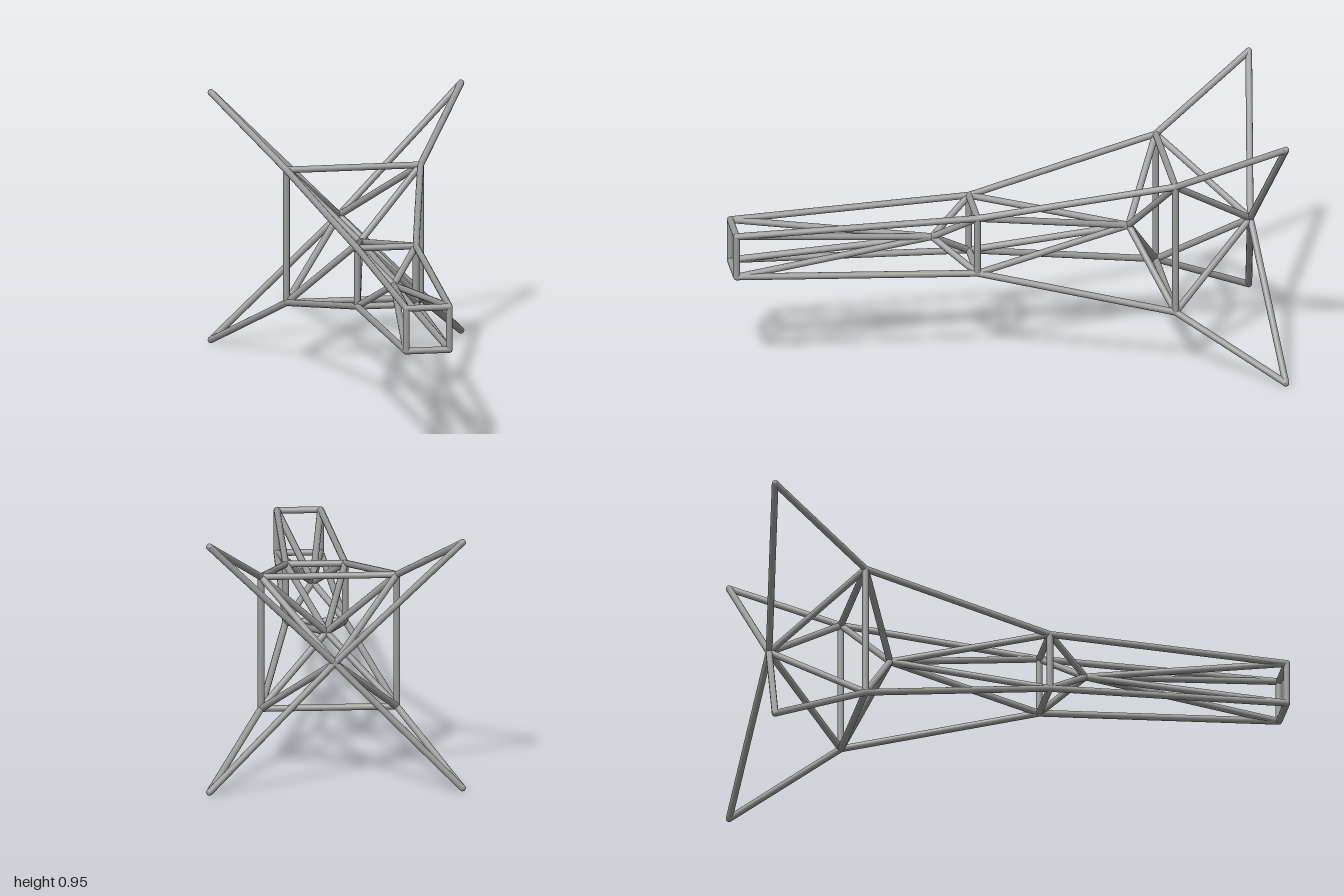
import * as THREE from 'three';

const R = 0.0125; // strut radius
const CY = 0.475; // height of the long axis
const UP = new THREE.Vector3(0, 1, 0);

export function createModel() {
  const model = new THREE.Group();
  model.name = 'trussFrame';
  const steel = new THREE.MeshStandardMaterial({ color: 0x9a9a9a });
  steel.name = 'grey steel';

  // Round bar between two nodes
  const strut = (name, a, b) => {
    const dir = b.clone().sub(a);
    const mesh = new THREE.Mesh(new THREE.CylinderGeometry(R, R, dir.length(), 12), steel);
    mesh.position.copy(a).add(b).multiplyScalar(0.5);
    mesh.quaternion.setFromUnitVectors(UP, dir.normalize());
    mesh.name = name;
    model.add(mesh);
  };

  // Small ball closing the bar ends at a node
  const jointGeometry = new THREE.SphereGeometry(R, 12, 8);
  const joint = (p) => {
    const mesh = new THREE.Mesh(jointGeometry, steel);
    mesh.position.copy(p);
    mesh.name = 'joint';
    model.add(mesh);
  };

  // Four corners of a square station, from front to back
  const corners = (half, z) => [[1, 1], [-1, 1], [-1, -1], [1, -1]]
    .map(([sx, sy]) => new THREE.Vector3(sx * half, CY + sy * half, z));
  const stations = [
    corners(0.08, 0.987),
    corners(0.109, 0.1),
    corners(0.249, -0.612),
    corners(0.464, -0.988),
  ];

  // Nodes on the long axis, one in each bay
  const hubs = [0.252, -0.475, -0.925].map((z) => new THREE.Vector3(0, CY, z));

  // Square frames; the rear tips stay open
  stations.slice(0, 3).forEach((s) =>
    s.forEach((p, i) => strut('squareFrameBar', p, s[(i + 1) % 4])));

  // Long rails and the braces meeting at each hub
  hubs.forEach((hub, k) => {
    for (let i = 0; i < 4; i++) {
      strut('longRail', stations[k][i], stations[k + 1][i]);
      strut('frontBrace', stations[k][i], hub);
      strut('rearBrace', hub, stations[k + 1][i]);
    }
  });

  [...stations.flat(), ...hubs].forEach(joint);
  return model;
}
